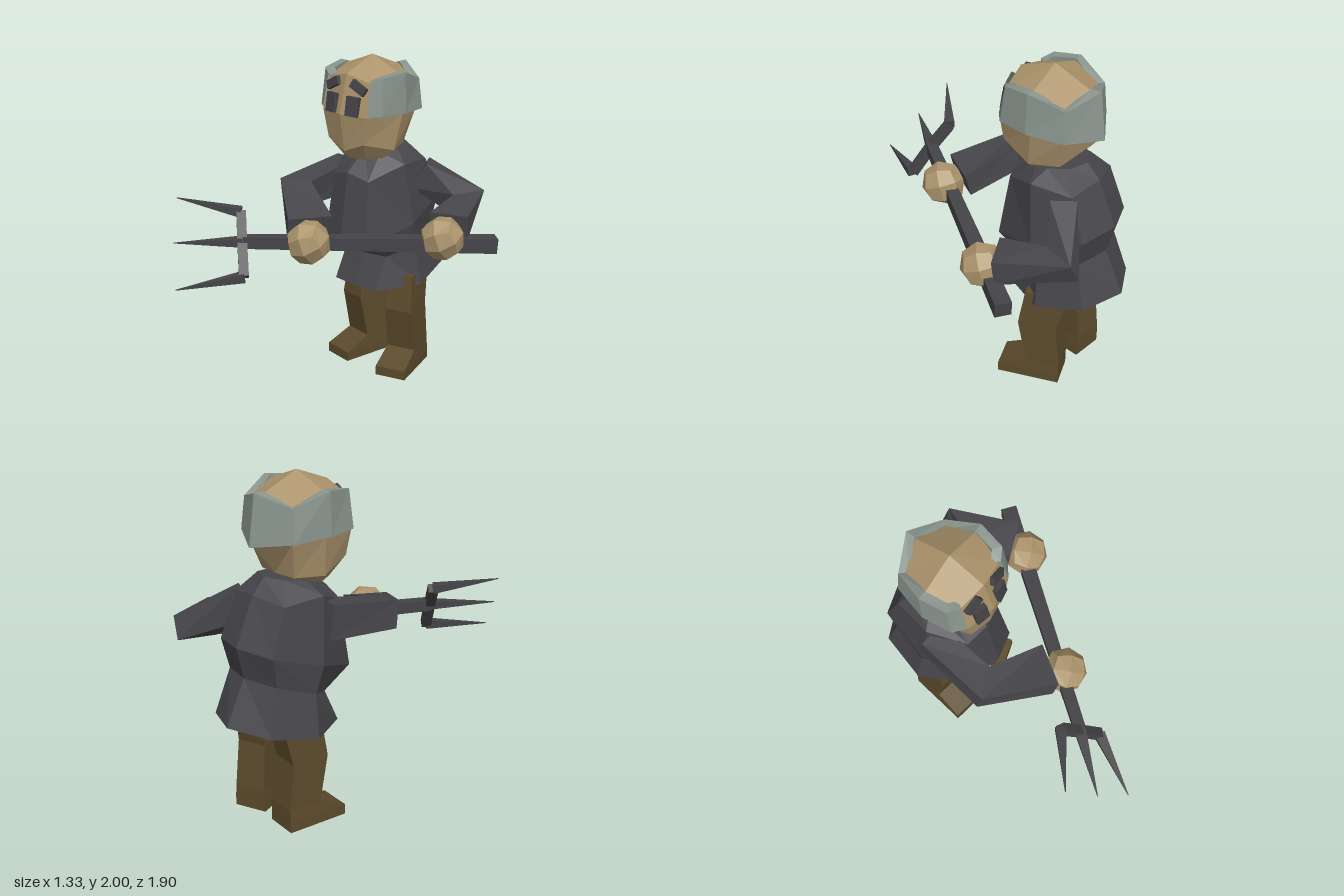
import * as THREE from 'three';

const mat = (name, color) => {
  const m = new THREE.MeshStandardMaterial({ color, flatShading: true });
  m.name = name;
  return m;
};

// Skin a list of equal-length rings, closing both ends with fans; faces always point outward.
function loft(rings, tip) {
  const n = rings[0].length;
  const pos = rings.flat();
  const centre = r => [0, 1, 2].map(k => r.reduce((s, p) => s + p[k], 0) / n);
  const last = (rings.length - 1) * n;
  const a = pos.push(centre(rings[0])) - 1;
  const b = pos.push(tip || centre(rings[rings.length - 1])) - 1;
  const tris = [];
  for (let j = 0; j < n; j++) {
    const k = (j + 1) % n;
    for (let i = 0; i < last; i += n) {
      tris.push([i + j, i + k, i + n + k], [i + j, i + n + k, i + n + j]);
    }
    tris.push([a, k, j], [b, last + j, last + k]);
  }
  const v = pos.map(p => new THREE.Vector3(...p));
  let volume = 0;
  for (const [p, q, r] of tris) volume += v[p].dot(v[q].clone().cross(v[r]));
  if (volume < 0) tris.forEach(t => t.reverse());
  const g = new THREE.BufferGeometry();
  g.setAttribute('position', new THREE.Float32BufferAttribute(pos.flat(), 3));
  g.setIndex(tris.flat());
  const flat = g.toNonIndexed();
  flat.computeVertexNormals();
  return flat;
}

// Complete a half ring (front, front side, side, back side, back) by mirroring in x.
const whole = half => [...half, ...half.slice(1, -1).reverse().map(([x, y, z]) => [-x, y, z])];

// Four-sided bar through joints [x, y, z, halfWidth, halfHeight].
function bar(joints) {
  const pts = joints.map(j => new THREE.Vector3(j[0], j[1], j[2]));
  const end = pts.length - 1;
  return loft(joints.map((j, i) => {
    const dir = new THREE.Vector3();
    if (i > 0) dir.add(pts[i].clone().sub(pts[i - 1]).normalize());
    if (i < end) dir.add(pts[i + 1].clone().sub(pts[i]).normalize());
    dir.normalize();
    const side = dir.clone().cross(new THREE.Vector3(0, 1, 0)).normalize();
    const up = side.clone().cross(dir);
    return [[1, 1], [-1, 1], [-1, -1], [1, -1]].map(([s, u]) =>
      pts[i].clone().addScaledVector(side, s * j[3]).addScaledVector(up, u * j[4]).toArray());
  }));
}

export function createModel() {
  const skin = mat('skin', 0xac946c);
  const hairGrey = mat('grey hair', 0x89948d);
  const cloth = mat('dark coat', 0x47464b);
  const trousers = mat('brown trousers', 0x5c4b2c);
  const iron = mat('dark iron', 0x444347);

  const model = new THREE.Group();
  const add = (name, geometry, material, parent = model) => {
    const m = new THREE.Mesh(geometry, material);
    m.name = name;
    parent.add(m);
    return m;
  };

  // Head and coat share a centre line
  const figure = new THREE.Group();
  figure.name = 'upperBody';
  figure.position.x = -0.165;
  model.add(figure);

  add('coat', loft([
    [[0, 1.43, -0.37], [0.1, 1.42, -0.4], [0.15, 1.43, -0.5], [0.11, 1.45, -0.62], [0, 1.455, -0.67]],
    [[0, 1.31, -0.22], [0.14, 1.27, -0.25], [0.245, 1.36, -0.46], [0.2, 1.34, -0.7], [0, 1.37, -0.75]],
    [[0, 0.855, -0.155], [0.17, 0.87, -0.2], [0.285, 0.98, -0.5], [0.22, 1.08, -0.8], [0, 1.1, -0.87]],
    [[0, 0.755, -0.37], [0.17, 0.765, -0.39], [0.265, 0.82, -0.54], [0.2, 0.9, -0.76], [0, 0.915, -0.825]],
    [[0, 0.56, -0.28], [0.17, 0.56, -0.29], [0.31, 0.575, -0.56], [0.24, 0.635, -0.84], [0, 0.66, -0.95]],
  ].map(whole)), cloth, figure);

  add('head', loft([
    [[0, 1.395, -0.25], [0.09, 1.395, -0.28], [0.14, 1.395, -0.38], [0.1, 1.4, -0.46], [0, 1.4, -0.49]],
    [[0, 1.45, -0.19], [0.145, 1.51, -0.205], [0.2, 1.45, -0.41], [0.13, 1.455, -0.57], [0, 1.46, -0.59]],
    [[0, 1.68, -0.155], [0.18, 1.68, -0.195], [0.24, 1.68, -0.44], [0.18, 1.67, -0.62], [0, 1.64, -0.74]],
    [[0, 1.915, -0.21], [0.165, 1.875, -0.24], [0.22, 1.915, -0.43], [0.165, 1.855, -0.61], [0, 1.905, -0.665]],
  ].map(whole), [0, 2, -0.43]), skin, figure);

  // Band of hair round the sides and back, tapering onto the face: outer bottom and top of each column
  const columns = [
    [[0.182, 1.69, -0.195], [0.17, 1.885, -0.23]],
    [[0.25, 1.69, -0.25], [0.235, 1.91, -0.27]],
    [[0.272, 1.685, -0.43], [0.265, 1.93, -0.43]],
    [[0.215, 1.67, -0.64], [0.195, 1.855, -0.63]],
    [[0, 1.635, -0.765], [0, 1.92, -0.725]],
  ];
  const inner = ([x, y, z]) => [x * 0.8, y, -0.43 + (z + 0.43) * 0.8];
  const sections = columns.map(([lo, hi]) => [inner(lo), lo, hi, inner(hi)]);
  const mirrored = sections.slice(0, -1).reverse().map(s => s.map(([x, y, z]) => [-x, y, z]));
  add('hair', loft([...sections, ...mirrored]), hairGrey, figure);

  // Eyes and slanted brows
  for (const s of [1, -1]) {
    const eye = add('eye', new THREE.BoxGeometry(0.083, 0.115, 0.04), iron, figure);
    eye.position.set(s * 0.083, 1.737, -0.18);
    eye.rotation.set(-0.15, s * 0.22, 0);
    const brow = add('brow', new THREE.BoxGeometry(0.108, 0.052, 0.045), iron, figure);
    brow.position.set(s * 0.1, 1.845, -0.215);
    brow.rotation.set(-0.2, s * 0.22, -s * 0.44);
  }

  // Legs with feet: rows of [y, half width, back z, front z]
  const legRows = [
    [0.64, 0.075, -0.14, 0.11],
    [0.41, 0.087, -0.085, 0.145],
    [0.135, 0.093, -0.115, 0.09],
    [0.06, 0.098, -0.115, 0.26],
    [0, 0.098, -0.115, 0.26],
  ];
  const legShape = loft(legRows.map(([y, w, b, f]) => [[-w, y, b], [w, y, b], [w, y, f], [-w, y, f]]));
  for (const [name, x, yaw] of [['leftLeg', 0.03, 0.33], ['rightLeg', -0.3, -0.13]]) {
    const leg = add(name, legShape, trousers);
    leg.position.set(x, 0, -0.565);
    leg.rotation.y = yaw;
  }

  // Bent sleeves, widening to the cuffs
  add('leftArm', bar([
    [0.04, 1.26, -0.65, 0.075, 0.09],
    [0.275, 1.095, -0.81, 0.11, 0.07],
    [0.42, 1.05, -0.48, 0.115, 0.075],
  ]), cloth);
  add('rightArm', bar([
    [-0.39, 1.22, -0.45, 0.08, 0.1],
    [-0.43, 1.17, -0.05, 0.1, 0.08],
    [-0.1, 1.07, 0.16, 0.13, 0.07],
  ]), cloth);

  // Faceted ball hands: a divided cube pushed out to a sphere
  const fist = new THREE.BoxGeometry(1, 1, 1, 2, 2, 2);
  const p = fist.attributes.position;
  const v = new THREE.Vector3();
  for (let i = 0; i < p.count; i++) {
    v.fromBufferAttribute(p, i).setLength(0.133);
    p.setXYZ(i, v.x, v.y, v.z);
  }
  fist.computeVertexNormals();
  for (const [name, x, y, z] of [['leftHand', 0.44, 1.0, -0.4], ['rightHand', -0.03, 1.02, 0.235]]) {
    const hand = add(name, fist, skin);
    hand.position.set(x, y, z);
    hand.rotation.set(0.35, 0.55, 0.2);
  }

  // Three-pronged fork held across the body
  const fork = new THREE.Group();
  fork.name = 'fork';
  model.add(fork);
  const hub = [-0.28, 1.035, 0.525];
  const top = [-0.37, 1.175, 0.45];
  const bottom = [-0.185, 0.865, 0.6];
  add('handle', bar([[0.625, 0.94, -0.67, 0.048, 0.045], [...hub, 0.033, 0.033]]), iron, fork);
  add('crossbar', bar([top, hub, bottom].map(q => [...q, 0.028, 0.028])), iron, fork);
  const tips = [[top, [-0.66, 1.25, 0.69]], [hub, [-0.53, 1.04, 0.825]], [bottom, [-0.375, 0.83, 0.945]]];
  for (const [from, to] of tips) {
    add('prong', bar([[...from, 0.032, 0.026], [...to, 0.002, 0.002]]), iron, fork);
  }

  return model;
}
